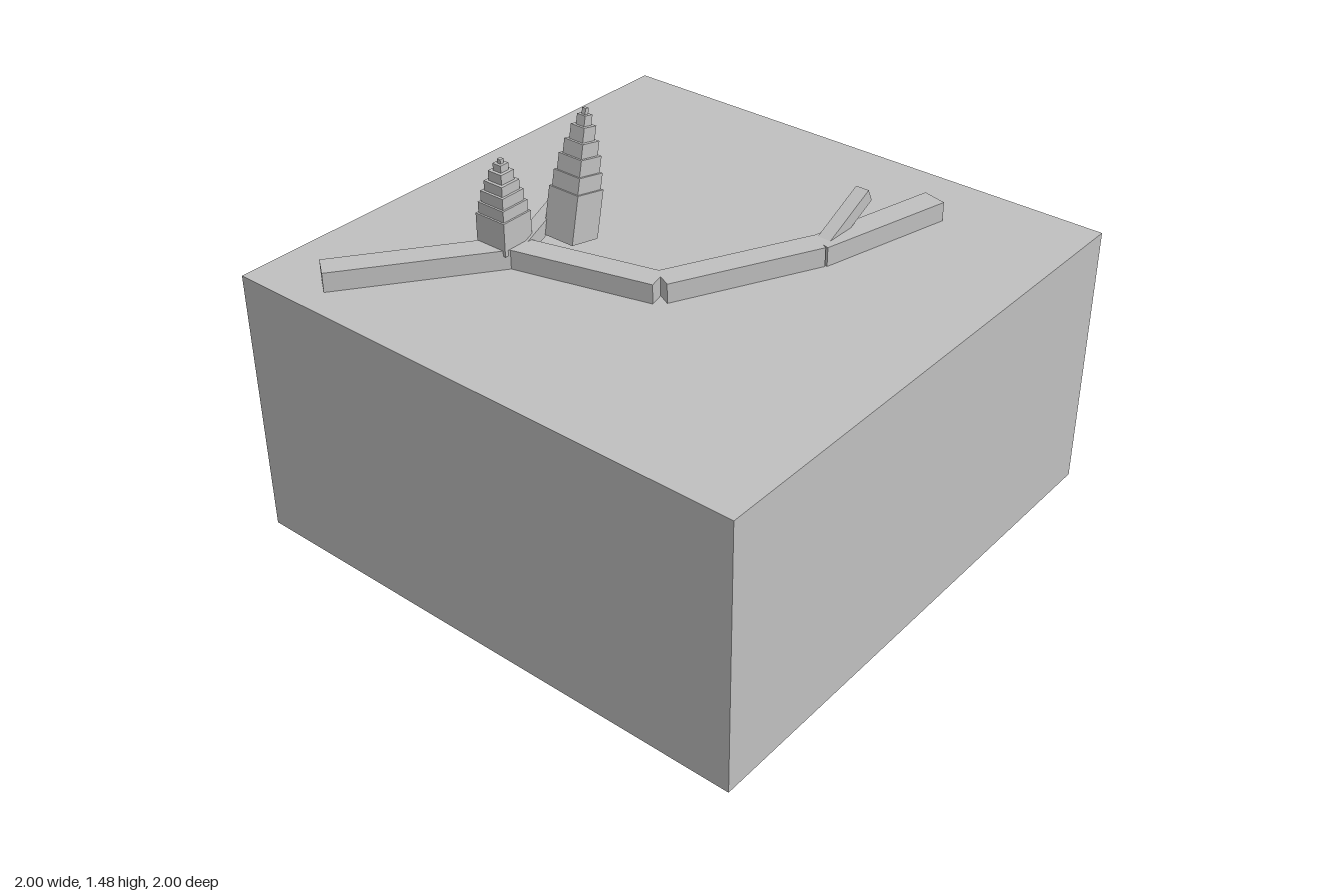
import * as THREE from 'three';

const GROUND = 1;

export function createModel() {
  const group = new THREE.Group();
  const stone = new THREE.MeshStandardMaterial({ color: 0xc0c0c0 });
  stone.name = 'grey stone';

  const addBox = (parent, name, w, h, d, x, y, z) => {
    const mesh = new THREE.Mesh(new THREE.BoxGeometry(w, h, d), stone);
    mesh.name = name;
    mesh.position.set(x, y, z);
    parent.add(mesh);
    return mesh;
  };

  // Ground block
  addBox(group, 'groundBlock', 2, 1, 2, 0, 0.5, 0);

  // Winding wall: one straight beam per pair of end points [x, z]
  const beams = [
    [[-0.877, -0.753], [-0.39, -0.393]],
    [[-0.385, -0.40], [-0.255, 0.122]],
    [[-0.247, 0.125], [0.253, 0.373]],
    [[0.248, 0.375], [0.746, 0.498]],
  ];
  beams.forEach(([a, b], i) => {
    const dx = b[0] - a[0], dz = b[1] - a[1];
    const beam = addBox(group, `wallBeam${i + 1}`, Math.hypot(dx, dz), 0.07, 0.09,
      (a[0] + b[0]) / 2, GROUND + 0.035, (a[1] + b[1]) / 2);
    beam.rotation.y = -Math.atan2(dz, dx);
  });

  // Sloping branches that rise out of the wall toward +x
  const slope = 0.445, length = 0.3;
  [[0.4975, 0.375], [-0.125, -0.38]].forEach(([x, z], i) => {
    const branch = addBox(group, `slopingBranch${i + 1}`, length, 0.05, 0.05,
      x - Math.cos(slope) * length / 2, 1.1475 - Math.sin(slope) * length / 2, z);
    branch.rotation.z = slope;
  });

  // Stepped towers: each tier is [top height, width]
  const tiers = [
    [0.12, 0.125], [0.16, 0.112], [0.2, 0.098], [0.235, 0.08],
    [0.27, 0.058], [0.295, 0.035], [0.31, 0.015],
  ];
  const addTower = (name, x, y, z, stretch, lean) => {
    const tower = new THREE.Group();
    tower.name = name;
    let base = 0;
    tiers.forEach(([top, w], i) => {
      const h = (top - base) * stretch;
      addBox(tower, `tier${i + 1}`, w, h, w, 0, base * stretch + h / 2, 0);
      base = top;
    });
    tower.position.set(x, y, z);
    tower.rotation.z = -lean;
    group.add(tower);
  };
  addTower('uprightTower', -0.378, 1.05, -0.427, 1, 0);
  addTower('leaningTower', -0.203, 1.048, -0.298, 1.42, 0.205);

  return group;
}
